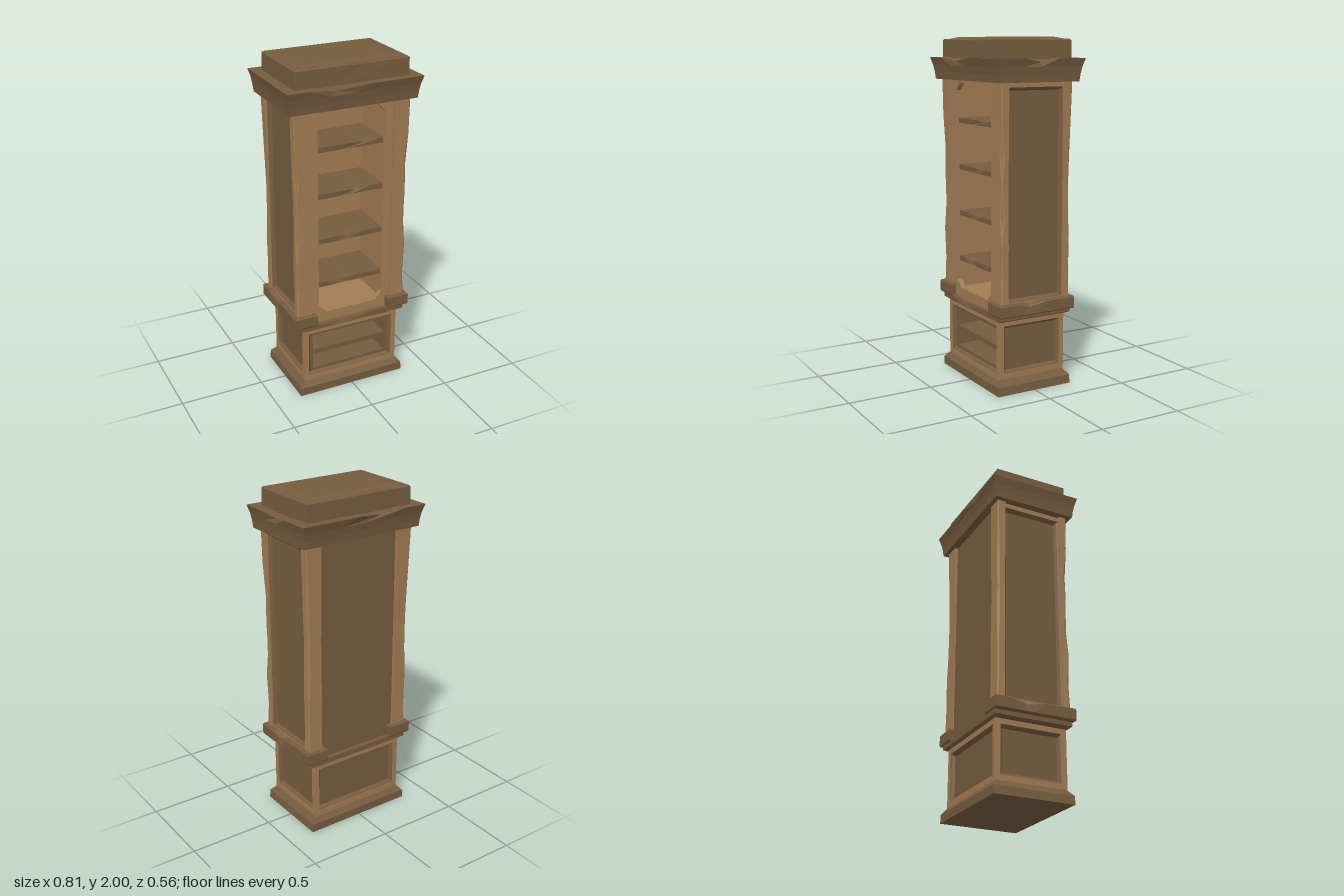
import * as THREE from 'three';

const light = new THREE.MeshStandardMaterial({ color: 0xa27c54 });
light.name = 'light wood';
const dark = new THREE.MeshStandardMaterial({ color: 0x765c3f });
dark.name = 'dark wood';

function add(parent, name, geometry, material, x = 0, y = 0, z = 0) {
  const mesh = new THREE.Mesh(geometry, material);
  mesh.name = name;
  mesh.position.set(x, y, z);
  parent.add(mesh);
  return mesh;
}

// Box given by its extents on each axis
function board(parent, name, material, [x0, x1], [y0, y1], [z0, z1]) {
  return add(parent, name, new THREE.BoxGeometry(x1 - x0, y1 - y0, z1 - z0), material,
    (x0 + x1) / 2, (y0 + y1) / 2, (z0 + z1) / 2);
}

// Flat-shaded skin over stacked sections, with optional end caps
function loft(sections, bottom = true, top = true) {
  const pos = [];
  const tri = (...pts) => pts.forEach((p) => pos.push(p.x, p.y, p.z));
  const n = sections[0].length;
  for (let s = 0; s + 1 < sections.length; s++) {
    for (let i = 0; i < n; i++) {
      const j = (i + 1) % n, lo = sections[s], hi = sections[s + 1];
      tri(lo[i], lo[j], hi[j]);
      tri(lo[i], hi[j], hi[i]);
    }
  }
  const cap = (sec, flip) => {
    const c = sec.reduce((a, p) => a.add(p), new THREE.Vector3()).divideScalar(n);
    sec.forEach((p, i) => {
      const q = sec[(i + 1) % n];
      if (flip) tri(c, q, p); else tri(c, p, q);
    });
  };
  if (bottom) cap(sections[0], true);
  if (top) cap(sections[sections.length - 1], false);
  const g = new THREE.BufferGeometry();
  g.setAttribute('position', new THREE.Float32BufferAttribute(pos, 3));
  g.computeVertexNormals();
  return g;
}

// Rectangular section; chips = { side: [position along side, half width, depth, drop] }
// Sides run front, +x, back, -x
function ring(y, hx, hz, chips = {}) {
  const c = [[-hx, hz], [hx, hz], [hx, -hz], [-hx, -hz]];
  const inward = [[0, -1], [-1, 0], [0, 1], [1, 0]];
  const pts = [];
  for (let s = 0; s < 4; s++) {
    const a = c[s], b = c[(s + 1) % 4];
    const [t, w, d, drop] = chips[s] || [0.5, 0.2, 0, 0];
    [[0, 0], [t - w, 0], [t, 1], [t + w, 0]].forEach(([u, k]) => pts.push(new THREE.Vector3(
      a[0] + (b[0] - a[0]) * u + inward[s][0] * d * k, y - drop * k,
      a[1] + (b[1] - a[1]) * u + inward[s][1] * d * k)));
  }
  return pts;
}

// Plate outline with holes, extruded toward +z
function plate(outline, holes, depth) {
  const toPts = (l) => l.map(([x, y]) => new THREE.Vector2(x, y));
  const shape = new THREE.Shape(toPts(outline));
  holes.forEach((h) => shape.holes.push(new THREE.Path(toPts(h))));
  return new THREE.ExtrudeGeometry(shape, { depth, bevelEnabled: false });
}
const rect = (hx, y0, y1) => [[-hx, y0], [hx, y0], [hx, y1], [-hx, y1]];

// Light frame around a recessed dark panel with bevelled border
function framedFace(parent, name, angle, dist, hw, y0, y1, phw, p0, p1, open = false) {
  const g = new THREE.Group();
  g.name = name;
  g.rotation.y = angle;
  parent.add(g);
  add(g, name + 'Frame', plate(rect(hw, y0, y1), [rect(phw, p0, p1)], 0.02), light, 0, 0, dist - 0.02);
  const hh = (p1 - p0) / 2;
  const pan = loft([ring(0, phw, hh), ring(-0.004, phw - 0.006, hh - 0.006),
    ring(-0.02, phw - 0.018, hh - 0.018)], false, !open);
  add(g, name + 'Panel', pan, dark, 0, (p0 + p1) / 2, dist - 0.003).rotation.x = Math.PI / 2;
  return g;
}

export function createModel() {
  const model = new THREE.Group();
  model.name = 'bookcase';

  // Plinth with sloped top
  add(model, 'plinth', loft([ring(0, 0.34, 0.24), ring(0.05, 0.335, 0.24),
    ring(0.055, 0.33, 0.235), ring(0.085, 0.305, 0.21)]), dark);

  // Lower cabinet faces
  const lower = new THREE.Group();
  lower.name = 'lowerCabinet';
  model.add(lower);
  framedFace(lower, 'lowerFront', 0, 0.215, 0.305, 0.08, 0.435, 0.275, 0.11, 0.395, true);
  framedFace(lower, 'lowerBack', Math.PI, 0.215, 0.305, 0.08, 0.435, 0.275, 0.115, 0.395);
  for (const s of [-1, 1])
    framedFace(lower, 'lowerSide', s * Math.PI / 2, 0.305, 0.215, 0.08, 0.435, 0.185, 0.115, 0.395);

  // Two open cubbies
  add(lower, 'cubbyFront', plate(rect(0.275, 0.11, 0.395),
    [rect(0.24, 0.145, 0.24), rect(0.24, 0.27, 0.368)], 0.02), dark, 0, 0, 0.173);
  for (const [y0, y1] of [[0.12, 0.145], [0.24, 0.27], [0.368, 0.39]])
    board(lower, 'cubbyShelf', dark, [-0.25, 0.25], [y0, y1], [-0.1, 0.18]);
  for (const s of [-1, 1])
    board(lower, 'cubbySide', dark, [s * 0.25 - 0.01, s * 0.25 + 0.01], [0.12, 0.39], [-0.1, 0.18]);
  board(lower, 'cubbyBack', dark, [-0.25, 0.25], [0.12, 0.39], [-0.12, -0.1]);

  // Waist moulding and chipped corner bands
  const waistChip = { 0: [0.4, 0.25, 0.008, 0.012] };
  add(model, 'waist', loft([ring(0.425, 0.32, 0.222), ring(0.435, 0.34, 0.235),
    ring(0.465, 0.34, 0.235, waistChip)]), dark);
  for (const s of [-1, 1]) {
    const chip = { [s > 0 ? 1 : 3]: [0.4, 0.2, 0.01, 0.022] };
    add(model, 'waistBand', loft([ring(0.46, 0.066, 0.242), ring(0.466, 0.07, 0.245),
      ring(0.526, 0.07, 0.245, chip), ring(0.533, 0.064, 0.24, chip)]), dark, s * 0.3);
  }

  // Upper sides, back and front frame
  const upper = new THREE.Group();
  upper.name = 'upperCabinet';
  model.add(upper);
  for (const s of [-1, 1])
    framedFace(upper, 'upperSide', s * Math.PI / 2, 0.338, 0.215, 0.5, 1.77, 0.178, 0.535, 1.73);
  board(upper, 'backPanel', dark, [-0.28, 0.28], [0.46, 1.77], [-0.207, -0.185]);
  const c = 0.045, w = 0.205, b = 0.52, t = 1.74;
  const arch = [[-w + c, b], [w - c, b], [w, b + c], [w, t - c], [w - c, t], [-w + c, t], [-w, t - c], [-w, b + c]];
  add(upper, 'frontFrame', plate(rect(0.27, 0.462, 1.77), [arch], 0.03), light, 0, 0, 0.18);

  // Worn corner posts: [height, chamfer, sideways wear]
  const wear = [[0.5, 0.006, 0.006], [0.68, 0.012, 0.009], [0.86, 0.007, 0.007], [1.02, 0.02, 0.01],
    [1.2, 0.01, 0.012], [1.36, 0.022, 0.007], [1.55, 0.008, 0.004], [1.77, 0.006, 0]];
  for (const sx of [-1, 1]) for (const sz of [-1, 1]) {
    const sections = wear.map(([y, ch, d], i) => {
      const k = ch * (((i + sx + (sz > 0 ? 1 : 0)) % 2) ? 1 : 0.6);
      const X = 0.354 - d, Z = 0.228 - d * 0.7;
      const pts = [[0.257, Z], [X - k, Z], [X, Z - k], [X, 0.178], [0.257, 0.178]]
        .map(([x, z]) => new THREE.Vector3(x * sx, y, z * sz));
      return sx * sz < 0 ? pts.reverse() : pts;
    });
    add(upper, 'cornerPost', loft(sections), light);
  }

  // Interior lining and shelves
  for (const s of [-1, 1])
    board(upper, 'innerSide', light, [s * 0.22 - 0.01, s * 0.22 + 0.01], [0.47, 1.77], [-0.09, 0.185]);
  board(upper, 'innerBack', light, [-0.22, 0.22], [0.47, 1.77], [-0.1, -0.08]);
  board(upper, 'innerFloor', light, [-0.22, 0.22], [0.465, 0.517], [-0.09, 0.185]);
  board(upper, 'innerCeiling', light, [-0.22, 0.22], [1.743, 1.77], [-0.09, 0.185]);
  [0.68, 0.955, 1.23, 1.505].forEach((y, i) => {
    const chip = { 0: [0.35 + 0.12 * i, 0.2, 0.008, 0.01] };
    add(upper, 'shelf', loft([ring(y, 0.212, 0.138), ring(y + 0.03, 0.212, 0.138, chip)]), dark, 0, 0, 0.055);
  });

  // Flared cornice with chipped upper edge
  const chips = { 0: [0.36, 0.22, 0.02, 0.02], 1: [0.5, 0.2, 0.02, 0.02], 2: [0.64, 0.18, 0.018, 0.015] };
  add(model, 'cornice', loft([ring(1.757, 0.383, 0.253), ring(1.8, 0.387, 0.258),
    ring(1.84, 0.393, 0.266), ring(1.885, 0.405, 0.28, chips)]), dark);

  // Cap with bevelled rim and slightly raised top
  add(model, 'cap', loft([ring(1.88, 0.342, 0.225), ring(1.983, 0.34, 0.225, { 0: [0.6, 0.25, 0.004, 0.004] }),
    ring(1.99, 0.332, 0.217), ring(1.99, 0.313, 0.197), ring(2, 0.265, 0.163)]), dark);

  return model;
}
